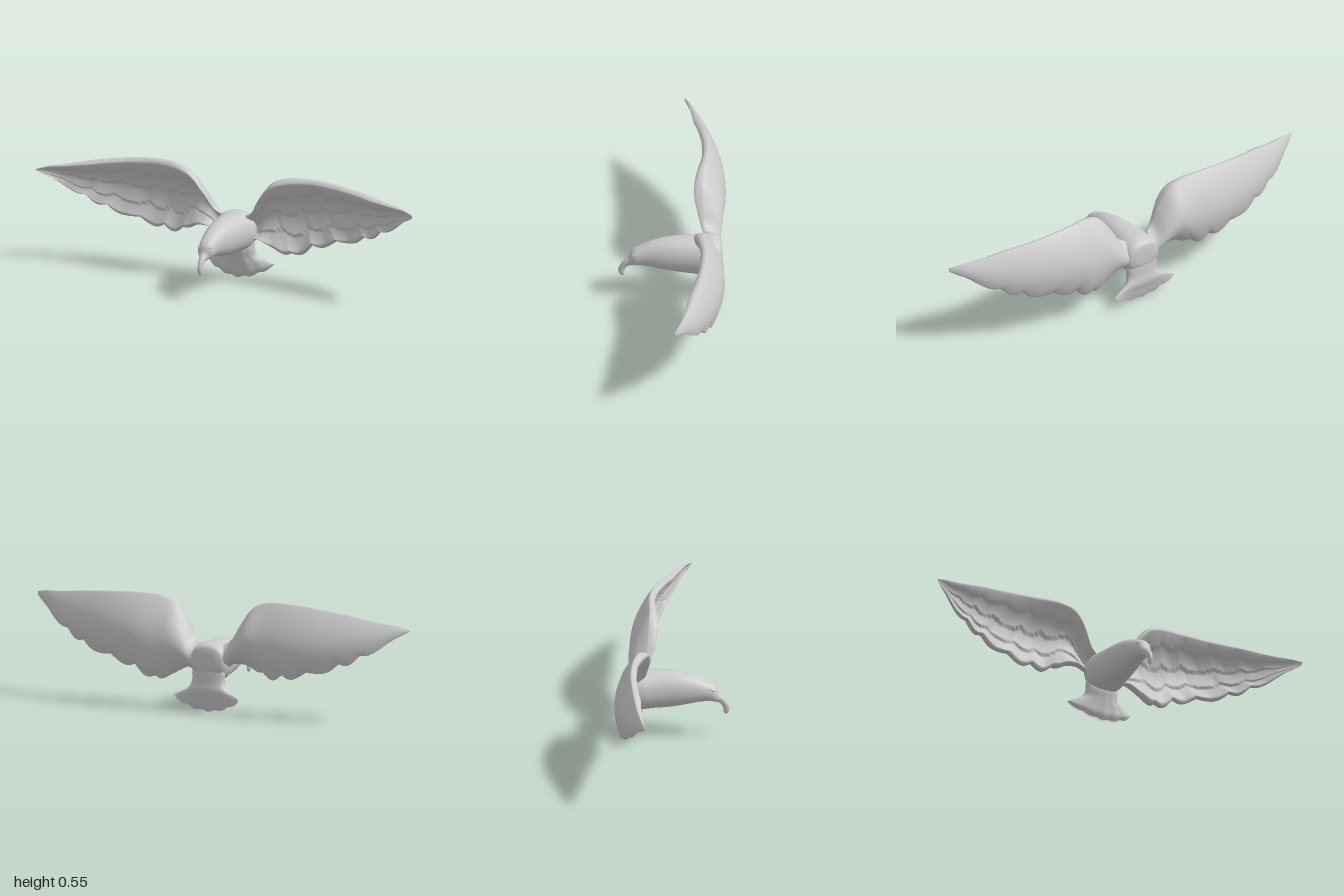
import * as THREE from 'three';

const material = new THREE.MeshStandardMaterial({ color: 0xcccccc });

// Smooth interpolation of table rows; the first column is the key.
function table(rows) {
  const size = rows[0].length - 1;
  const interp = new THREE.CubicInterpolant(
    rows.map(r => r[0]), rows.flatMap(r => r.slice(1)), size, new Float32Array(size));
  return k => Array.from(interp.evaluate(k));
}

// Skin over closed rings (counter-clockwise about the loft direction), capped at both ends.
function loft(rings, name) {
  const n = rings[0].length, pos = rings.flat(2), index = [];
  for (let i = 0; i < rings.length - 1; i++) {
    for (let j = 0; j < n; j++) {
      const a = i * n + j, b = i * n + (j + 1) % n;
      index.push(a, b, b + n, a, b + n, a + n);
    }
  }
  [0, rings.length - 1].forEach((r, end) => {
    const c = pos.length / 3;
    for (let k = 0; k < 3; k++) pos.push(rings[r].reduce((s, p) => s + p[k], 0) / n);
    for (let j = 0; j < n; j++) {
      const a = r * n + j, b = r * n + (j + 1) % n;
      index.push(c, ...(end ? [a, b] : [b, a]));
    }
  });
  const geo = new THREE.BufferGeometry();
  geo.setAttribute('position', new THREE.Float32BufferAttribute(pos, 3));
  geo.setIndex(index);
  geo.computeVertexNormals();
  const mesh = new THREE.Mesh(geo, material);
  mesh.name = name;
  return mesh;
}

// Body, head and hooked beak: top z, top y, bottom z, bottom y, half width
function makeBody() {
  const rows = [
    [-0.238, 0.29, -0.238, 0.21, 0.05], [-0.229, 0.322, -0.224, 0.17, 0.086],
    [-0.195, 0.336, -0.19, 0.145, 0.1], [-0.15, 0.337, -0.15, 0.141, 0.099],
    [-0.1, 0.335, -0.1, 0.147, 0.089],
    [-0.05, 0.334, -0.05, 0.151, 0.08], [0, 0.331, 0, 0.158, 0.073],
    [0.05, 0.323, 0.05, 0.168, 0.065], [0.1, 0.309, 0.1, 0.179, 0.055],
    [0.15, 0.287, 0.15, 0.186, 0.045], [0.182, 0.271, 0.17, 0.186, 0.041],
    [0.2, 0.252, 0.183, 0.185, 0.034], [0.21, 0.226, 0.197, 0.181, 0.022],
    [0.231, 0.207, 0.21, 0.178, 0.016], [0.25, 0.181, 0.222, 0.167, 0.013],
    [0.26, 0.155, 0.23, 0.148, 0.011], [0.256, 0.134, 0.231, 0.131, 0.009],
    [0.248, 0.122, 0.237, 0.121, 0.005],
  ].map((r, i) => [i, ...r]);
  const at = table(rows), rings = [], steps = 85, sides = 40;
  for (let i = 0; i <= steps; i++) {
    const [zt, yt, zb, yb, w] = at(i / steps * (rows.length - 1));
    const ring = [];
    for (let j = 0; j < sides; j++) {
      const a = j / sides * Math.PI * 2, s = Math.sin(a), c = Math.cos(a);
      const x = w * Math.sign(c) * Math.abs(c) ** 0.85;
      ring.push([x, (yt + yb) / 2 + s * (yt - yb) / 2, (zt + zb) / 2 + s * (zt - zb) / 2]);
    }
    rings.push(ring);
  }
  return loft(rings, 'bodyAndHead');
}

// Cupped wing: span x, leading y, trailing y, leading z, rearmost z, trailing z
const wingAt = table([
  [0.06, 0.322, 0.18, -0.165, -0.22, -0.175], [0.1, 0.35, 0.185, -0.15, -0.228, -0.18],
  [0.14, 0.42, 0.185, -0.142, -0.235, -0.185], [0.2, 0.5, 0.165, -0.14, -0.24, -0.19],
  [0.27, 0.533, 0.127, -0.143, -0.243, -0.197], [0.4, 0.543, 0.18, -0.155, -0.243, -0.205],
  [0.55, 0.534, 0.222, -0.145, -0.22, -0.195], [0.7, 0.518, 0.272, -0.112, -0.173, -0.16],
  [0.85, 0.496, 0.352, -0.068, -0.105, -0.103], [0.95, 0.485, 0.42, -0.03, -0.045, -0.042],
  [1, 0.472, 0.455, -0.004, -0.006, -0.006],
]);

function makeWing(side) {
  const rings = [], spanSteps = 150, chordSteps = 48, right = side < 0;
  for (let i = 0; i <= spanSteps; i++) {
    const x = 0.06 + 0.94 * i / spanSteps;
    let [yTop, yBot, zTop, zBack, zBot] = wingAt(x);
    let shift = 0;
    if (right) { // the right wing is swept back and sits slightly higher
      shift = -0.062 * x ** 1.6;
      yTop += 0.015 * Math.sin(Math.PI * x) - 0.018 * x;
      yBot += 0.08 * Math.exp(-(((x - 0.23) / 0.12) ** 2)) - 0.008 * x;
    }
    const chord = Math.min(1, (yTop - yBot) / 0.22), bulge = (zTop + zBot) / 2 - zBack;
    const shoulder = 0.018 * Math.exp(-(((x - 0.2) / 0.13) ** 2)); // thicker towards the body
    const front = [], back = [];
    for (let j = 0; j <= chordSteps; j++) {
      const s = j / chordSteps, v = 0.5 * s + 0.25 * (1 - Math.cos(Math.PI * s));
      // four overlapping feather rows; the tips point outward and down
      const wave = Math.abs(Math.sin(Math.PI * (x * 7.5 - v + 0.15 * Math.sin(x * 17))));
      const q = v * 4 + 0.3 * (1 - wave) * Math.sin(Math.PI * v);
      const row = Math.floor(q), rise = v === 1 ? 1 : q - row;
      const groove = Math.abs(Math.sin(Math.PI * (x * 7.5 - v + row * 0.5)));
      const y = THREE.MathUtils.lerp(yTop, yBot, v) + 0.025 * chord * (1 - wave) * v ** 5;
      const z = THREE.MathUtils.lerp(zTop, zBot, v) - bulge * Math.sin(Math.PI * v) ** 0.85 + shift;
      const round = Math.sqrt(Math.min(1, v * (1 - v) * 18));
      const roll = 0.02 * Math.exp(-(((v - 0.12) / 0.18) ** 2)); // rounded leading edge
      const thick = chord * round * (0.022 + roll + shoulder + 0.011 * rise * (0.45 + 0.55 * groove));
      front.push([side * x, y, z + thick]);
      if (j > 0 && j < chordSteps) back.unshift([side * x, y, z]);
    }
    rings.push([...front, ...back]);
  }
  if (right) rings.reverse();
  return loft(rings, right ? 'rightWing' : 'leftWing');
}

// Fanned tail: key, centre y, half width, centre z, half thickness, lift of the outer feathers
function makeTail() {
  const at = table([
    [0, 0.235, 0.08, -0.21, 0.022, 0], [1, 0.19, 0.085, -0.202, 0.034, 0], [2, 0.145, 0.086, -0.197, 0.041, 0],
    [3, 0.1, 0.1, -0.204, 0.038, 0.012], [4, 0.06, 0.138, -0.203, 0.028, 0.03],
    [5, 0.025, 0.168, -0.202, 0.02, 0.048], [6, 0.004, 0.172, -0.204, 0.009, 0.062],
  ]);
  const rings = [], steps = 44, sides = 72;
  for (let i = 0; i <= steps; i++) {
    const t = i / steps, [yc, w, zc, d, lift] = at(t * 6);
    const ring = [];
    for (let j = 0; j < sides; j++) {
      const a = j / sides * Math.PI * 2, u = Math.cos(a), s = Math.sin(a);
      const feather = Math.abs(Math.cos(Math.PI * 2.5 * u)) * t * t;
      const z = zc + d * s - 0.032 * u * u * t + (s > 0 ? 0.3 * d * feather * s : 0);
      ring.push([w * u, yc + lift * u * u - 0.01 * feather * t ** 4 + 0.006 * t, z]);
    }
    rings.push(ring);
  }
  return loft(rings, 'tail');
}

function ellipsoid(name, position, scale, tilt = 0) {
  const mesh = new THREE.Mesh(new THREE.SphereGeometry(1, 16, 12), material);
  mesh.name = name;
  mesh.position.set(...position);
  mesh.scale.set(...scale);
  mesh.rotation.x = tilt;
  return mesh;
}

export function createModel() {
  const bird = new THREE.Group();
  bird.name = 'bird';
  bird.add(makeBody(), makeTail());
  for (const side of [1, -1]) {
    bird.add(makeWing(side));
    // eye under a heavy brow
    bird.add(ellipsoid('eye', [side * 0.033, 0.24, 0.18], [0.006, 0.007, 0.009]));
    bird.add(ellipsoid('brow', [side * 0.029, 0.253, 0.178], [0.009, 0.007, 0.022], 0.4));
  }
  return bird;
}
